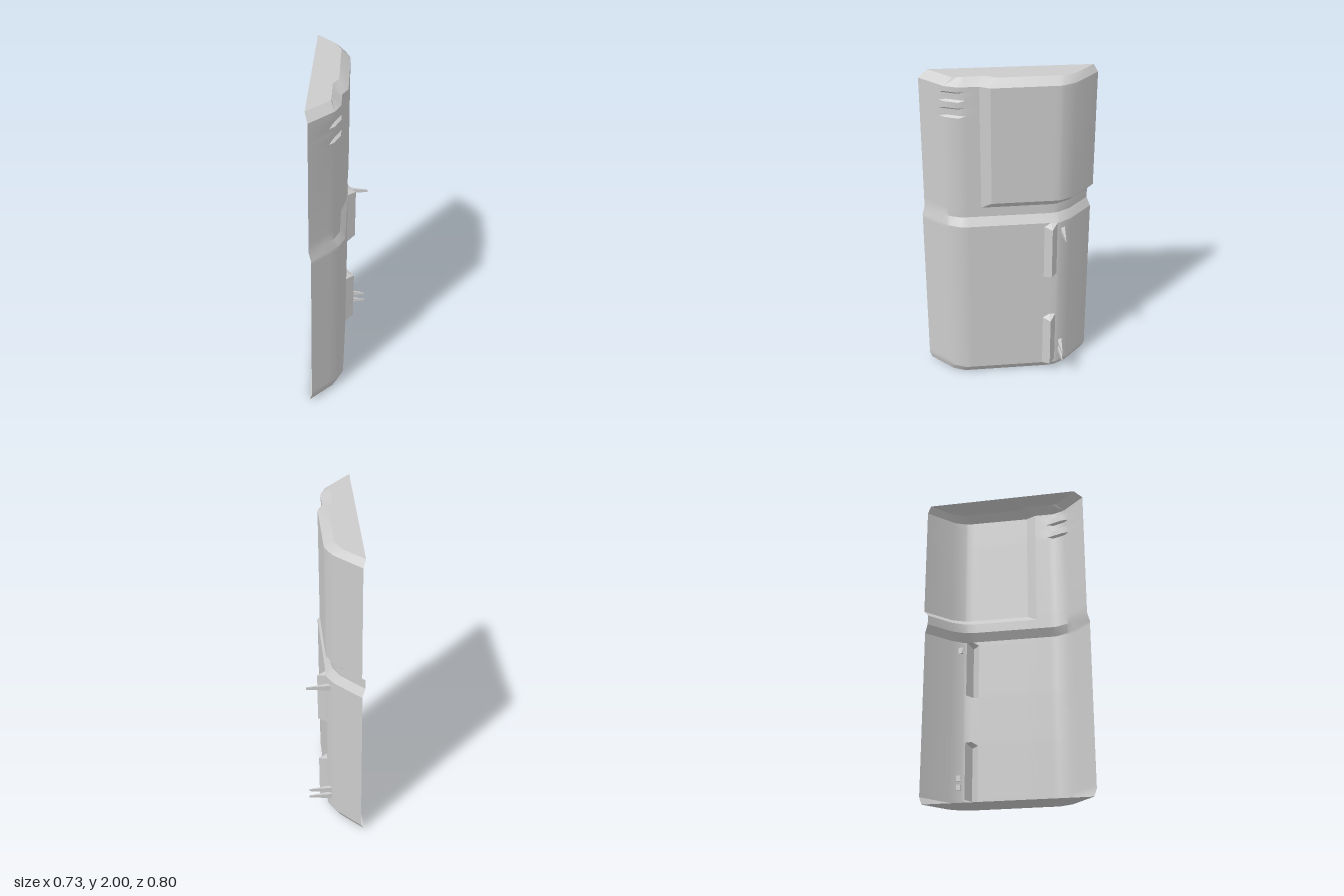
import * as THREE from 'three';
import { toCreasedNormals } from 'three/addons/utils/BufferGeometryUtils.js';

const material = new THREE.MeshStandardMaterial({ color: 0xcccccc, side: THREE.DoubleSide });

// Horizontal cross-sections [x, z], running from the rear end to the front end
const lower = [[-.36, -.318], [-.16, -.318], [-.085, -.3], [-.07, -.29], [-.042, -.262], [-.015, -.235],
  [.21, -.01], [.235, .015], [.30, .08], [.33, .11], [.36, .19], [.36, .25], [.36, .40]];
const groove = [[-.36, -.29], [-.18, -.29], [-.10, -.265], [-.08, -.25], [-.055, -.23], [-.03, -.205],
  [.18, .005], [.225, .05], [.28, .105], [.31, .135], [.34, .21], [.34, .25], [.34, .40]];
const upper = [[-.365, -.328], [-.16, -.328], [-.085, -.3], [-.07, -.29], [-.042, -.262], [-.015, -.235],
  [.206, -.014], ...groove.slice(7)];
const top = [[-.36, -.30], [-.20, -.30], [-.125, -.27], [-.105, -.25], [-.08, -.225], [-.05, -.195],
  [.14, -.005], [.155, .055], [.24, .14], [.265, .165], [.29, .19], [.29, .25], [.29, .375]];

// Copy of a section with some of its points replaced
const edit = (section, changes) => section.map((p, i) => changes[i] || p);
const ridge = edit(lower, { 4: [-.01, -.30] });
const slot = edit(upper, { 9: [.298, .148], 10: [.322, .207] });

// Sections stacked by height
const rows = [[0, groove], [.05, lower]];
for (const y of [.05, .71]) // grip ridges with sloped ends
  rows.push([y, lower], [y + .025, ridge], [y + .355, ridge], [y + .38, lower]);
rows.push([1.14, groove], [1.20, groove], [1.24, upper]);
for (const y of [1.775, 1.87]) // vent slots cut across the corner
  rows.push([y, upper], [y + .01, slot], [y + .047, slot], [y + .06, upper]);
rows.push([1.96, upper], [2, top]);

function loft(list) {
  const levels = list.filter((r, i) => !i || r[0] > list[i - 1][0]);
  const n = levels[0][1].length;
  const positions = [], index = [];
  levels.forEach(([y, section]) => section.forEach(([x, z]) => positions.push(x, y, z)));
  for (let i = 0; i < levels.length - 1; i++) {
    for (let j = 0; j < n - 1; j++) {
      const a = i * n + j, b = a + 1, c = a + n, d = c + 1;
      index.push(a, c, b, b, c, d);
    }
  }
  const geometry = new THREE.BufferGeometry();
  geometry.setAttribute('position', new THREE.Float32BufferAttribute(positions, 3));
  geometry.setIndex(index);
  return toCreasedNormals(geometry, .45);
}

// Flat end plate, facing up (side 1) or down (side -1)
function cap(section, y, side) {
  const shape = new THREE.Shape(section.map(([x, z]) => new THREE.Vector2(x, -side * z)));
  return new THREE.ShapeGeometry(shape).rotateX(-side * Math.PI / 2).translate(0, y, 0);
}

// Spike along +z that narrows to a thin vertical edge
function spikeGeometry() {
  const length = .145;
  const geometry = new THREE.BoxGeometry(.026, .038, length).translate(0, 0, length / 2);
  const p = geometry.attributes.position;
  for (let i = 0; i < p.count; i++)
    if (p.getZ(i) > length / 2) p.setXY(i, p.getX(i) * .06, p.getY(i) * .4);
  return toCreasedNormals(geometry, .1);
}

export function createModel() {
  const group = new THREE.Group();
  const add = (name, geometry) => {
    const mesh = new THREE.Mesh(geometry, material);
    mesh.name = name;
    group.add(mesh);
    return mesh;
  };

  // Half shell, open along its inner side
  add('shell', loft(rows));
  add('topCap', cap(top, 2, 1));
  add('bottomCap', cap(groove, 0, -1));

  // Contact spikes through the outer wall
  [1.03, .2, .145].forEach((y, i) => {
    const spike = add('spike' + (i + 1), spikeGeometry());
    spike.position.set(-.111, y, -.297);
    spike.rotation.y = Math.PI * .75;
  });
  return group;
}
